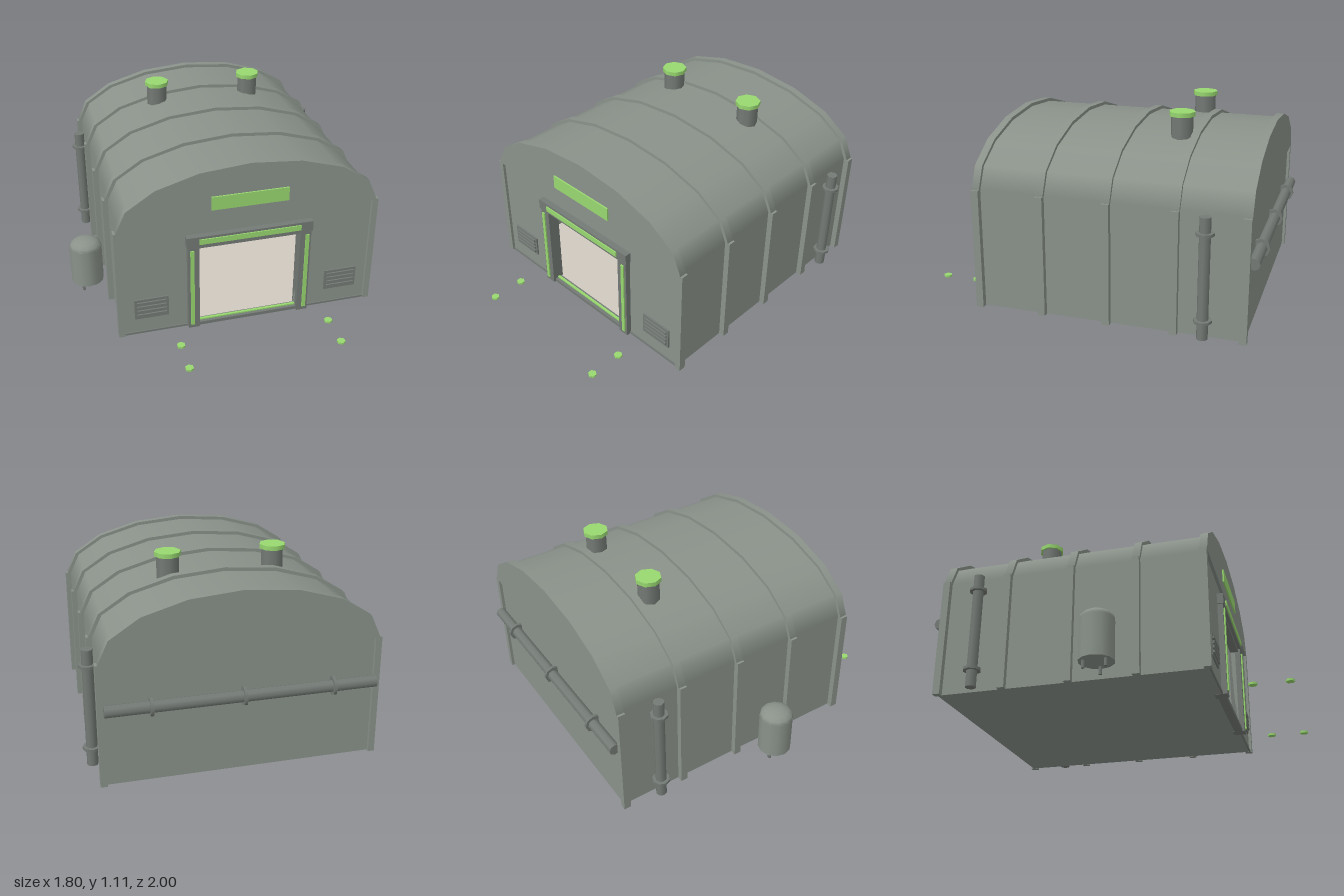
import * as THREE from 'three';

const mat = (name, color, double) => {
  const m = new THREE.MeshStandardMaterial({ color });
  m.name = name;
  if (double) m.side = THREE.DoubleSide;
  return m;
};

export function createModel() {
  const root = new THREE.Group();
  const wall = mat('wall grey', 0x8a928a, true);
  const trim = mat('trim grey', 0x747a75);
  const dark = mat('dark grey', 0x5a5e5a);
  const green = mat('light green', 0x98d870);
  const beige = mat('interior beige', 0xd0c9bf);

  const CX = 0.065, CZ = -0.164, HW = 0.737, HL = 0.757, EAVE = 0.695;

  const add = (name, geo, m, x = 0, y = 0, z = 0, parent = root) => {
    const mesh = new THREE.Mesh(geo, m);
    mesh.name = name;
    mesh.position.set(x, y, z);
    parent.add(mesh);
    return mesh;
  };
  // Box given by its limits on each axis
  const box = (name, m, x0, x1, y0, y1, z0, z1) =>
    add(name, new THREE.BoxGeometry(x1 - x0, y1 - y0, z1 - z0), m, (x0 + x1) / 2, (y0 + y1) / 2, (z0 + z1) / 2);
  // Half-elliptic vault running along z
  const vault = (a, b, len, open) => new THREE.CylinderGeometry(1, 1, len, 8, 1, open, Math.PI / 2, Math.PI)
    .rotateX(Math.PI / 2).scale(a, b, 1);

  // Shell: floor, side and back walls
  const L = CX - HW, R = CX + HW, F = CZ + HL, B = CZ - HL;
  box('floorBase', wall, L, R, 0.002, 0.012, B, F);
  box('floor', beige, L + 0.03, R - 0.03, 0.012, 0.016, B + 0.03, F - 0.01);
  box('leftWall', wall, R - 0.03, R, 0.01, EAVE, B, F);
  box('rightWall', wall, L, L + 0.03, 0.01, EAVE, B, F);
  box('backWall', wall, L, R, 0.01, EAVE, B, B + 0.03);
  box('backLining', beige, L + 0.03, R - 0.03, 0.01, EAVE, B + 0.03, B + 0.036);

  // Front wall with a door opening
  const DL = -0.233, DR = 0.362, DT = 0.545;
  const s = new THREE.Shape([[L, 0.01], [DL, 0.01], [DL, DT], [DR, DT], [DR, 0.01], [R, 0.01], [R, EAVE], [L, EAVE]]
    .map(p => new THREE.Vector2(...p)));
  add('frontWall', new THREE.ExtrudeGeometry(s, { depth: 0.03, bevelEnabled: false }), wall, 0, 0, F - 0.03);

  // Roof, ribs and rib legs
  add('roof', vault(HW, 0.313, HL * 2, true), wall, CX, EAVE, CZ);
  for (let i = 0; i < 5; i++) {
    const z = CZ + (i - 2) * 0.3765;
    add('roofRib', vault(0.757, 0.333, 0.044, false), wall, CX, EAVE, z);
    for (const side of [-1, 1]) {
      const x = CX + side * 0.752;
      box('ribLeg', wall, x - 0.018, x + 0.018, 0, EAVE, z - 0.021, z + 0.021);
    }
    if (i === 0 || i === 4) box('gableSoffit', wall, CX - 0.752, CX + 0.752, EAVE - 0.006, EAVE, z - 0.022, z + 0.022);
  }
  box('frontSill', trim, L, R, 0, 0.012, F, F + 0.008);

  // Door frame with light strips
  box('lintel', trim, -0.305, 0.435, 0.552, 0.616, F - 0.03, 0.63);
  box('lintelLight', green, DL, DR, 0.57, 0.602, 0.63, 0.637);
  box('doorHead', trim, DL, DR, 0.532, 0.552, F - 0.03, 0.612);
  for (const side of [-1, 1]) {
    const x = CX + side * 0.33, g = CX + side * 0.339;
    box('doorJamb', trim, x - 0.033, x + 0.033, 0, 0.552, F - 0.04, 0.625);
    box('jambLight', green, g - 0.011, g + 0.011, 0.025, 0.53, 0.625, 0.633);
  }
  box('threshold', trim, DL, DR, 0, 0.02, F - 0.03, 0.612);
  box('thresholdLight', green, DL, DR, 0.02, 0.028, F - 0.015, F);

  // Gable sign
  box('signPanel', green, -0.16, 0.285, 0.77, 0.852, 0.611, 0.62);

  // Slatted vents
  for (const side of [-1, 1]) {
    const x = CX + side * 0.573;
    box('vent', trim, x - 0.099, x + 0.099, 0.105, 0.235, F, 0.603);
    for (let i = 0; i < 4; i++)
      box('ventSlat', trim, x - 0.085, x + 0.085, 0.122 + i * 0.027, 0.138 + i * 0.027, 0.603, 0.612);
  }

  // Chimneys
  for (const side of [-1, 1]) {
    const x = CX + side * 0.297;
    add('chimney', new THREE.CylinderGeometry(0.063, 0.063, 0.2, 8), trim, x, 0.995, -0.457).material.flatShading = false;
    add('chimneyCap', new THREE.CylinderGeometry(0.074, 0.074, 0.025, 8), green, x, 1.1, -0.457);
  }

  // Downpipes with clamps
  for (const side of [-1, 1]) {
    const x = CX + side * 0.783;
    add('downpipe', new THREE.CylinderGeometry(0.031, 0.031, 0.68, 8), trim, x, 0.352, -0.705);
    for (const y of [0.115, 0.6])
      add('downpipeClamp', new THREE.CylinderGeometry(0.05, 0.05, 0.016, 8), trim, x, y, -0.705);
  }

  // Pipe along the back wall
  add('backPipe', new THREE.CylinderGeometry(0.033, 0.033, 1.476, 8).rotateZ(Math.PI / 2), trim, CX, 0.445, -0.953);
  for (let i = -1; i <= 1; i++)
    add('backPipeClamp', new THREE.CylinderGeometry(0.053, 0.053, 0.016, 8).rotateZ(Math.PI / 2), trim, CX + i * 0.495, 0.445, -0.949);

  // Side tank on three legs
  const tank = new THREE.Group();
  tank.name = 'tank';
  tank.position.set(-0.803, 0, 0.032);
  root.add(tank);
  add('tankBody', new THREE.CylinderGeometry(0.098, 0.098, 0.24, 12), wall, 0, 0.165, 0, tank);
  add('tankDome', new THREE.SphereGeometry(0.098, 12, 4, 0, Math.PI * 2, 0, Math.PI / 2).scale(1, 0.54, 1), wall, 0, 0.284, 0, tank);
  for (let i = 0; i < 3; i++) {
    const a = i * Math.PI * 2 / 3;
    add('tankLeg', new THREE.CylinderGeometry(0.01, 0.01, 0.05, 6), trim, 0.07 * Math.cos(a), 0.027, 0.07 * Math.sin(a), tank);
  }

  // Ground markers in front of the door
  for (const x of [-0.38, 0.508])
    for (const z of [0.775, 0.973])
      add('groundMarker', new THREE.CylinderGeometry(0.025, 0.025, 0.012, 6), green, x, 0.007, z);

  // Interior: console, wall screen and hanging lamps
  box('console', trim, -0.4, 0.53, 0.03, 0.1, -0.8, -0.6);
  box('consoleBack', trim, -0.4, 0.53, 0.1, 0.175, -0.8, -0.7);
  box('consoleLight', green, -0.4, 0.53, 0.1, 0.165, -0.7, -0.693);
  box('screenFrame', dark, -0.145, 0.272, 0.295, 0.472, B + 0.036, B + 0.06);
  box('screen', green, -0.125, 0.255, 0.308, 0.46, B + 0.06, B + 0.067);
  for (const x of [-0.16, 0.287])
    add('wallLamp', new THREE.OctahedronGeometry(0.04).scale(0.6, 1, 0.6), green, x, 0.245, -0.72);
  add('consoleStick', new THREE.OctahedronGeometry(0.035).scale(0.7, 1, 0.7), dark, CX, 0.265, -0.72);
  add('ceilingLamp', new THREE.ConeGeometry(0.03, 0.03, 6).rotateX(Math.PI), green, CX, 0.52, -0.3);

  // Stored drums along the right wall
  for (let i = 0; i < 3; i++)
    add('drum', new THREE.CylinderGeometry(0.04, 0.04, 0.08, 8), dark, -0.59, 0.056, -0.22 - i * 0.1);

  return root;
}
